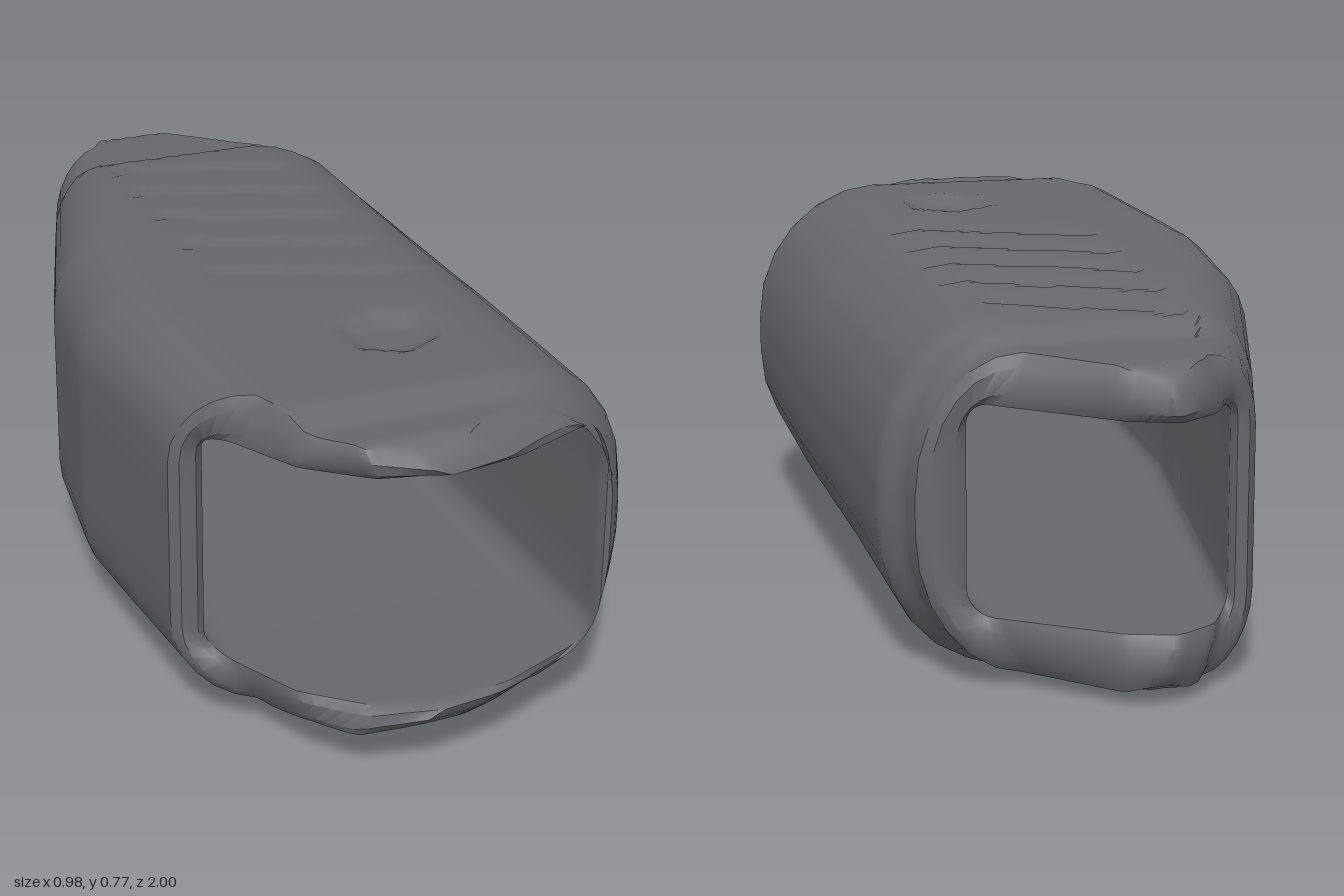
import * as THREE from 'three';
import { toCreasedNormals } from 'three/addons/utils/BufferGeometryUtils.js';

// Piecewise linear lookup through [key, value] pairs
function track(...keys) {
  return (t) => {
    if (t <= keys[0][0]) return keys[0][1];
    for (let i = 1; i < keys.length; i++) {
      const [a, va] = keys[i - 1], [b, vb] = keys[i];
      if (t <= b) return va + (vb - va) * (t - a) / (b - a);
    }
    return keys[keys.length - 1][1];
  };
}

// Outer limits of the sleeve along z
const outer = {
  l: track([-1, -0.24], [-0.9, -0.25], [-0.8, -0.28], [-0.6, -0.34], [-0.23, -0.45], [0.1, -0.49], [0.62, -0.455], [1, -0.45]),
  r: track([-0.8, 0.4], [-0.69, 0.415], [-0.63, 0.455], [0.2, 0.485], [0.72, 0.49], [0.82, 0.44], [0.88, 0.4]),
  t: track([-1, 0.645], [-0.94, 0.685], [-0.74, 0.69], [-0.7, 0.717], [-0.6, 0.727], [-0.3, 0.742], [0.3, 0.76], [0.77, 0.768], [0.85, 0.743], [0.94, 0.75], [1, 0.71]),
  b: track([-1, 0.06], [-0.95, 0.03], [-0.75, 0.035], [-0.68, 0.012], [-0.6, 0.002], [-0.3, 0.02], [0.3, 0.045], [0.76, 0.075], [0.85, 0.1], [0.94, 0.1], [1, 0.135]),
};
// Limits of the cavity along z
const inner = {
  l: track([-0.87, -0.21], [0.1, -0.36], [0.62, -0.385], [1, -0.4]),
  r: track([-0.8, 0.3], [0.2, 0.36], [0.8, 0.38]),
  t: track([-1, 0.575], [-0.8, 0.585], [-0.6, 0.635], [0.6, 0.66], [1, 0.68]),
  b: track([-1, 0.15], [0.6, 0.16], [1, 0.17]),
};
// End outlines: tongues above and below reach past the side walls
const frontEnd = track([0, 0.62], [0.03, 0.67], [0.16, 0.86], [0.32, 0.965], [0.52, 1], [0.7, 0.975], [0.88, 0.91], [1, 0.87]);
const backEnd = track([0, -0.86], [0.1, -0.95], [0.27, -1], [0.47, -0.97], [0.9, -0.82], [1, -0.78]);

// Unit rounded rectangle, clockwise from the top left; left and right corners differ
function unitSection(left, right) {
  const pts = [];
  const corner = (cx, cy, [rx, ry], from) => {
    for (let i = 0; i <= 6; i++) {
      const a = from - (i / 6) * Math.PI / 2;
      pts.push([cx + rx * Math.cos(a), cy + ry * Math.sin(a)]);
    }
  };
  const edge = (x0, y0, x1, y1, n) => {
    for (let i = 1; i < n; i++) pts.push([x0 + (x1 - x0) * i / n, y0 + (y1 - y0) * i / n]);
  };
  const [lx, ly] = left, [rx, ry] = right;
  corner(lx, 1 - ly, left, Math.PI);
  edge(lx, 1, 1 - rx, 1, 26);
  corner(1 - rx, 1 - ry, right, Math.PI / 2);
  edge(1, 1 - ry, 1, ry, 4);
  corner(1 - rx, ry, right, 0);
  edge(1 - rx, 0, lx, 0, 26);
  corner(lx, ly, left, -Math.PI / 2);
  edge(0, ly, 0, 1 - ly, 4);
  return pts;
}

// Depth of the slanted grip steps and the six-sided dimple
function relief(x, z) {
  let d = 0;
  const u = z - 0.4 * x;
  if (x > -0.18 && x < 0.2 && u > -0.6 && u < 0.3) {
    const phase = ((u + 0.6) / 0.18) % 1;
    d += 0.009 * Math.max(0, 1 - phase * 1.5);
  }
  const dx = Math.abs(x - 0.06), dz = Math.abs(z - 0.5);
  const hex = Math.max(dx, dx * 0.5 + dz * 0.866);
  if (hex < 0.1) d += 0.022 * Math.min(1, (0.1 - hex) / 0.035);
  return d;
}

function place(limits, [s, h], z) {
  const l = limits.l(z), r = limits.r(z), b = limits.b(z), t = limits.t(z);
  return [l + (r - l) * s, b + (t - b) * h, z];
}

function sleeveGeometry() {
  const out = unitSection([0.16, 0.24], [0.3, 0.44]);
  const inn = unitSection([0.06, 0.07], [0.09, 0.12]);
  const cols = out.length, rows = 90, round = 0.018;
  const pos = [], index = [];

  const outerRow = (k) => {
    for (let j = 0; j < cols; j++) {
      const s = inn[j][0], z0 = backEnd(s) + round, z1 = frontEnd(s) - round;
      const p = place(outer, out[j], z0 + (z1 - z0) * k / rows);
      const h = out[j][1];
      if (h > 0.999) p[1] -= relief(p[0], p[2]);
      if (h < 0.001) p[1] += relief(p[0], p[2]);
      pos.push(...p);
    }
  };
  const innerRow = (k) => {
    for (let j = 0; j < cols; j++) {
      const s = inn[j][0], z0 = backEnd(s) + round, z1 = frontEnd(s) - round;
      pos.push(...place(inner, inn[j], z0 + (z1 - z0) * k / rows));
    }
  };
  // Rounded lip halfway between skin and cavity
  const lipRow = (end, blend) => {
    for (let j = 0; j < cols; j++) {
      const z = end(inn[j][0]);
      const a = place(outer, out[j], z), b = place(inner, inn[j], z);
      pos.push(a[0] + (b[0] - a[0]) * blend, a[1] + (b[1] - a[1]) * blend, z);
    }
  };

  for (let k = 0; k <= rows; k++) outerRow(k);
  lipRow(frontEnd, 0.25);
  lipRow(frontEnd, 0.75);
  for (let k = rows; k >= 0; k--) innerRow(k);
  lipRow(backEnd, 0.75);
  lipRow(backEnd, 0.25);

  const total = pos.length / 3 / cols;
  for (let i = 0; i < total; i++) {
    for (let j = 0; j < cols; j++) {
      const i2 = (i + 1) % total, j2 = (j + 1) % cols;
      const a = i * cols + j, b = i2 * cols + j, c = i * cols + j2, d = i2 * cols + j2;
      index.push(a, b, c, b, d, c);
    }
  }
  const g = new THREE.BufferGeometry();
  g.setAttribute('position', new THREE.Float32BufferAttribute(pos, 3));
  g.setIndex(index);
  return toCreasedNormals(g, 0.7);
}

export function createModel() {
  const group = new THREE.Group();
  group.name = 'gripSleeve';
  const darkGrey = new THREE.MeshStandardMaterial({ color: 0x68676c });
  darkGrey.name = 'darkGrey';

  // Hollow shell with tongues, cavity, grip steps and dimples
  const sleeve = new THREE.Mesh(sleeveGeometry(), darkGrey);
  sleeve.name = 'sleeveShell';
  group.add(sleeve);
  return group;
}
